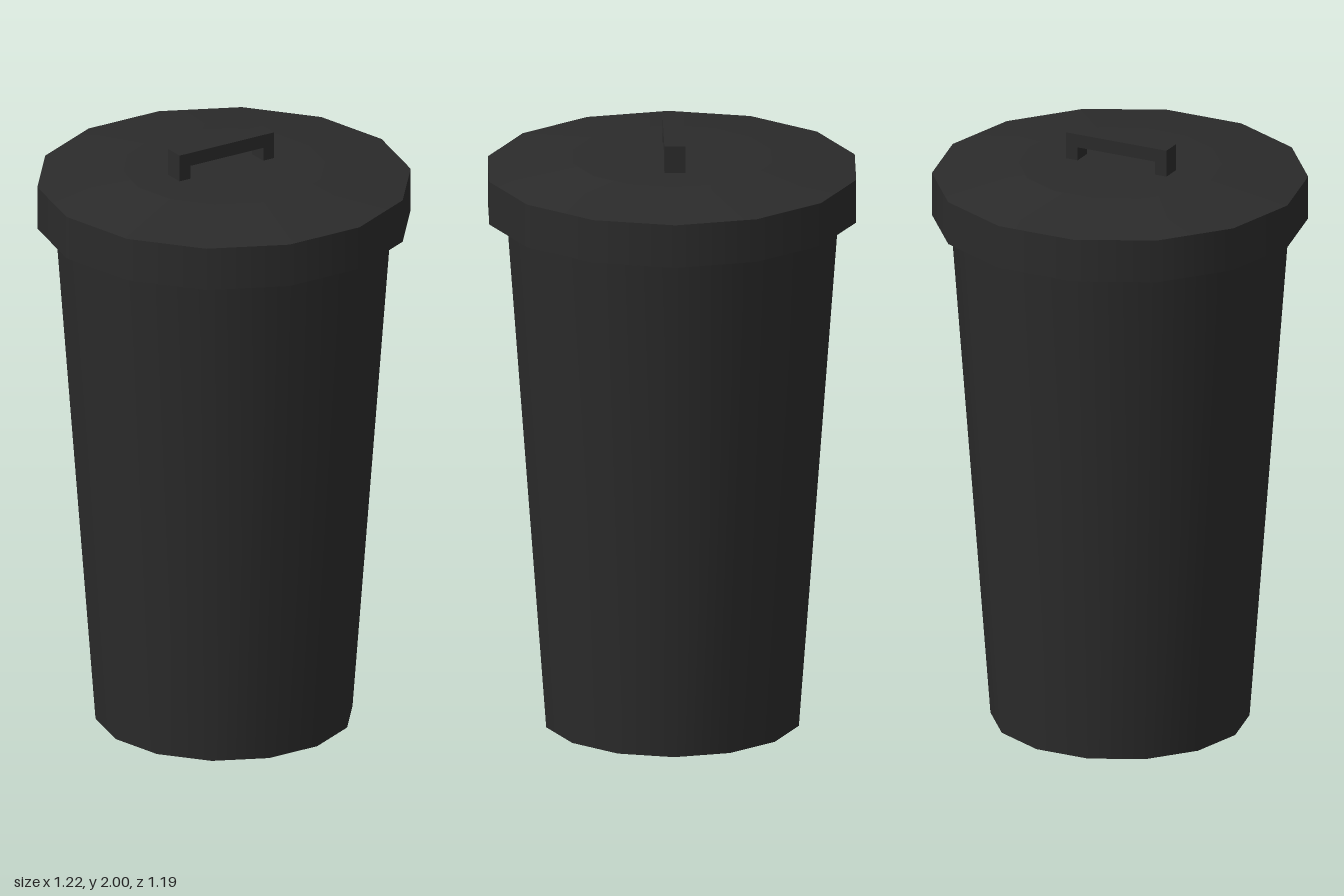
import * as THREE from 'three';

const SIDES = 14;

export function createModel() {
  const model = new THREE.Group();
  const plastic = new THREE.MeshStandardMaterial({ color: 0x2b2b2b, side: THREE.DoubleSide });

  const add = (name, geometry, y = 0, parent = model) => {
    const mesh = new THREE.Mesh(geometry, plastic);
    mesh.name = name;
    mesh.position.y = y;
    parent.add(mesh);
    return mesh;
  };

  // Open tapered wall between two heights, with a corner on the x axis
  const wall = (rTop, rBottom, y0, y1) =>
    new THREE.CylinderGeometry(rTop, rBottom, y1 - y0, SIDES, 1, true)
      .rotateY(Math.PI / 2)
      .translate(0, (y0 + y1) / 2, 0);

  // Bin body and its floor
  add('body', wall(0.55, 0.42, 0, 1.725));
  add('floor', new THREE.CircleGeometry(0.42, SIDES).rotateX(Math.PI / 2));

  // Lid: upright rim, underside lip, sloped shoulder and flat top
  const lid = new THREE.Group();
  lid.name = 'lid';
  model.add(lid);
  add('lidRim', wall(0.61, 0.61, 1.725, 1.87), 0, lid);
  add('lidLip', new THREE.RingGeometry(0.55, 0.61, SIDES).rotateX(Math.PI / 2), 1.725, lid);
  add('lidShoulder', wall(0.33, 0.61, 1.87, 1.91), 0, lid);
  add('lidTop', new THREE.CircleGeometry(0.33, SIDES).rotateX(-Math.PI / 2), 1.91, lid);

  // Handle: a squared arch standing on the lid
  const arch = new THREE.Shape([
    [-0.19, 0], [-0.148, 0], [-0.148, 0.045], [0.134, 0.045],
    [0.134, 0], [0.176, 0], [0.176, 0.09], [-0.19, 0.09],
  ].map(([x, y]) => new THREE.Vector2(x, y)));
  const handle = add('handle', new THREE.ExtrudeGeometry(arch, { depth: 0.068, bevelEnabled: false }), 1.91);
  handle.position.z = -0.04;

  return model;
}
